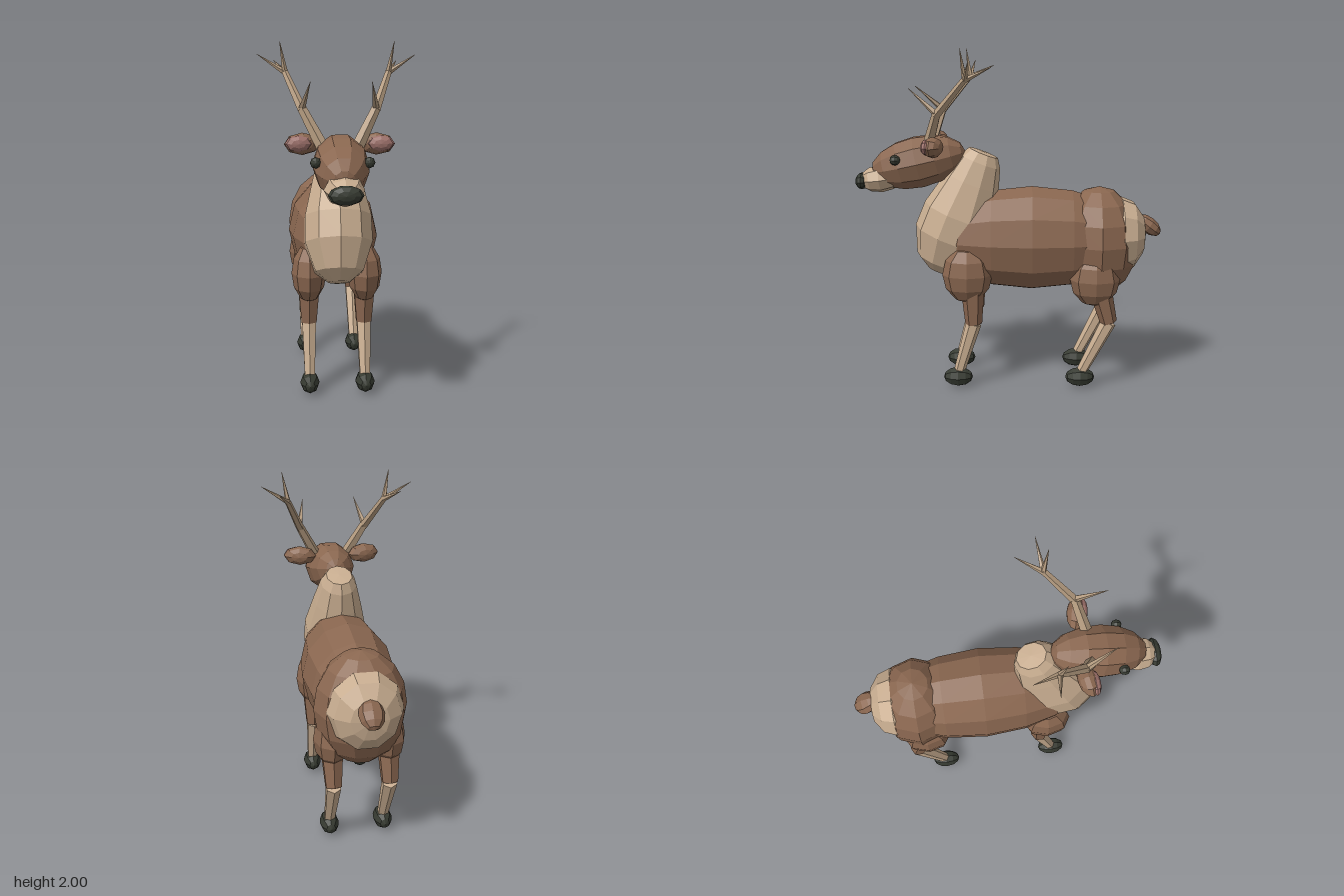
import * as THREE from 'three';

const paint = (name, color) => {
  const m = new THREE.MeshStandardMaterial({ color });
  m.name = name;
  return m;
};

export function createModel() {
  const brown = paint('coat brown', 0x8a6750);
  const cream = paint('pale fur', 0xc8ad90);
  const bone = paint('antler bone', 0xb59c80);
  const dark = paint('hoof black', 0x363a31);
  const pink = paint('inner ear pink', 0x9c706a);

  const model = new THREE.Group();
  model.name = 'stag';

  // Faceted mesh: every face keeps its own flat normal
  const add = (parent, name, geometry, material) => {
    const g = geometry.index ? geometry.toNonIndexed() : geometry;
    g.computeVertexNormals();
    const mesh = new THREE.Mesh(g, material);
    mesh.name = name;
    parent.add(mesh);
    return mesh;
  };

  // Low-poly ellipsoid with its poles along z (or y when upright)
  const blob = (parent, name, material, pos, r, { tilt = 0, yaw = 0, sides = 8, rings = 6, upright = false } = {}) => {
    const g = new THREE.SphereGeometry(1, sides, rings);
    if (!upright) g.rotateX(Math.PI / 2);
    g.scale(...r);
    const mesh = add(parent, name, g, material);
    mesh.position.set(...pos);
    mesh.rotation.set(tilt, yaw, 0);
    return mesh;
  };

  // Tapered rod from a to b
  const rod = (parent, name, material, a, b, ra, rb, sides = 6) => {
    const start = new THREE.Vector3(...a), end = new THREE.Vector3(...b);
    const dir = end.clone().sub(start);
    const mesh = add(parent, name, new THREE.CylinderGeometry(rb, ra, dir.length(), sides), material);
    mesh.position.copy(start).add(end).multiplyScalar(0.5);
    mesh.quaternion.setFromUnitVectors(new THREE.Vector3(0, 1, 0), dir.normalize());
    return mesh;
  };

  // Solid of revolution from [radius, height] points
  const turned = (points, sides) =>
    new THREE.LatheGeometry(points.map(([r, h]) => new THREE.Vector2(r, h)), sides);

  // Trunk, rump, pale rump patch and tail
  const trunk = turned([[0, -0.58], [0.13, -0.54], [0.23, -0.43], [0.29, -0.24], [0.315, 0],
    [0.29, 0.24], [0.23, 0.43], [0.13, 0.54], [0, 0.58]], 12);
  trunk.rotateX(Math.PI / 2).scale(0.85, 1, 1);
  add(model, 'trunk', trunk, brown).position.set(0, 0.885, -0.14);
  blob(model, 'rump', brown, [0, 0.87, -0.54], [0.26, 0.33, 0.24], { sides: 10, rings: 8, upright: true });
  blob(model, 'rumpPatch', cream, [0, 0.91, -0.675], [0.21, 0.23, 0.15], { sides: 10, rings: 6 });
  blob(model, 'tail', brown, [0, 0.965, -0.835], [0.07, 0.05, 0.09], { tilt: -0.65 });

  // Leaning neck and chest with a flat crown
  const neck = turned([[0, -0.385], [0.07, -0.38], [0.16, -0.32], [0.226, -0.16], [0.222, -0.01],
    [0.165, 0.2], [0.125, 0.33], [0.09, 0.385], [0, 0.39]], 10);
  neck.scale(0.87, 1, 1);
  const neckMesh = add(model, 'neck', neck, cream);
  neckMesh.position.set(0, 1.04, 0.285);
  neckMesh.rotation.x = -0.37;

  // Head, muzzle and nose
  blob(model, 'head', brown, [0, 1.345, 0.53], [0.152, 0.155, 0.285], { tilt: 0.22, sides: 10, rings: 8 });
  blob(model, 'muzzle', cream, [0, 1.245, 0.755], [0.105, 0.082, 0.13], { tilt: 0.12 });
  blob(model, 'nose', dark, [0, 1.232, 0.865], [0.09, 0.05, 0.04], { sides: 10 });

  for (const s of [1, -1]) {
    const side = new THREE.Group();
    side.name = s > 0 ? 'leftSide' : 'rightSide';
    model.add(side);

    blob(side, 'eye', dark, [0.138 * s, 1.372, 0.65], [0.03, 0.03, 0.03]);
    blob(side, 'ear', brown, [0.2 * s, 1.452, 0.425], [0.1, 0.06, 0.055], { yaw: -0.2 * s });
    blob(side, 'innerEar', pink, [0.22 * s, 1.455, 0.46], [0.075, 0.045, 0.032], { yaw: -0.05 * s });

    // Antler: bent beam, brow tine and three crown tines
    const antler = new THREE.Group();
    antler.name = 'antler';
    side.add(antler);
    const fork = [0.2 * s, 1.64, 0.4], crown = [0.29 * s, 1.84, 0.23];
    rod(antler, 'lowerBeam', bone, [0.085 * s, 1.42, 0.47], fork, 0.036, 0.026, 5);
    rod(antler, 'upperBeam', bone, [0.197 * s, 1.63, 0.405], crown, 0.026, 0.018, 5);
    rod(antler, 'browTine', bone, fork, [0.16 * s, 1.78, 0.56], 0.02, 0.001, 5);
    for (const [x, y, z] of [[0.315, 2, 0.26], [0.44, 1.93, 0.21], [0.35, 1.9, 0.09]]) {
      rod(antler, 'crownTine', bone, [0.285 * s, 1.83, 0.235], [x * s, y, z], 0.017, 0.001, 5);
    }

    // Legs: muscle, upper leg, shin, hoof
    const legs = [
      { name: 'frontLeg', muscle: [0.7, 0.24, 0.17], top: [0.6, 0.21], knee: [0.4, 0.205], foot: 0.3 },
      { name: 'hindLeg', muscle: [0.67, -0.51, 0.16], top: [0.62, -0.54], knee: [0.41, -0.595], foot: -0.43 },
    ];
    for (const { name, muscle, top, knee, foot } of legs) {
      const leg = new THREE.Group();
      leg.name = name;
      side.add(leg);
      const x = 0.16 * s;
      blob(leg, 'muscle', brown, [x, muscle[0], muscle[1]], [0.1, muscle[2], 0.147], { upright: true });
      rod(leg, 'upperLeg', brown, [x, ...top], [x, ...knee], 0.068, 0.05);
      rod(leg, 'shin', cream, [x, knee[0], knee[1]], [x, 0.08, foot], 0.046, 0.032);
      blob(leg, 'hoof', dark, [x, 0.065, foot], [0.056, 0.06, 0.087]);
    }
  }
  return model;
}
